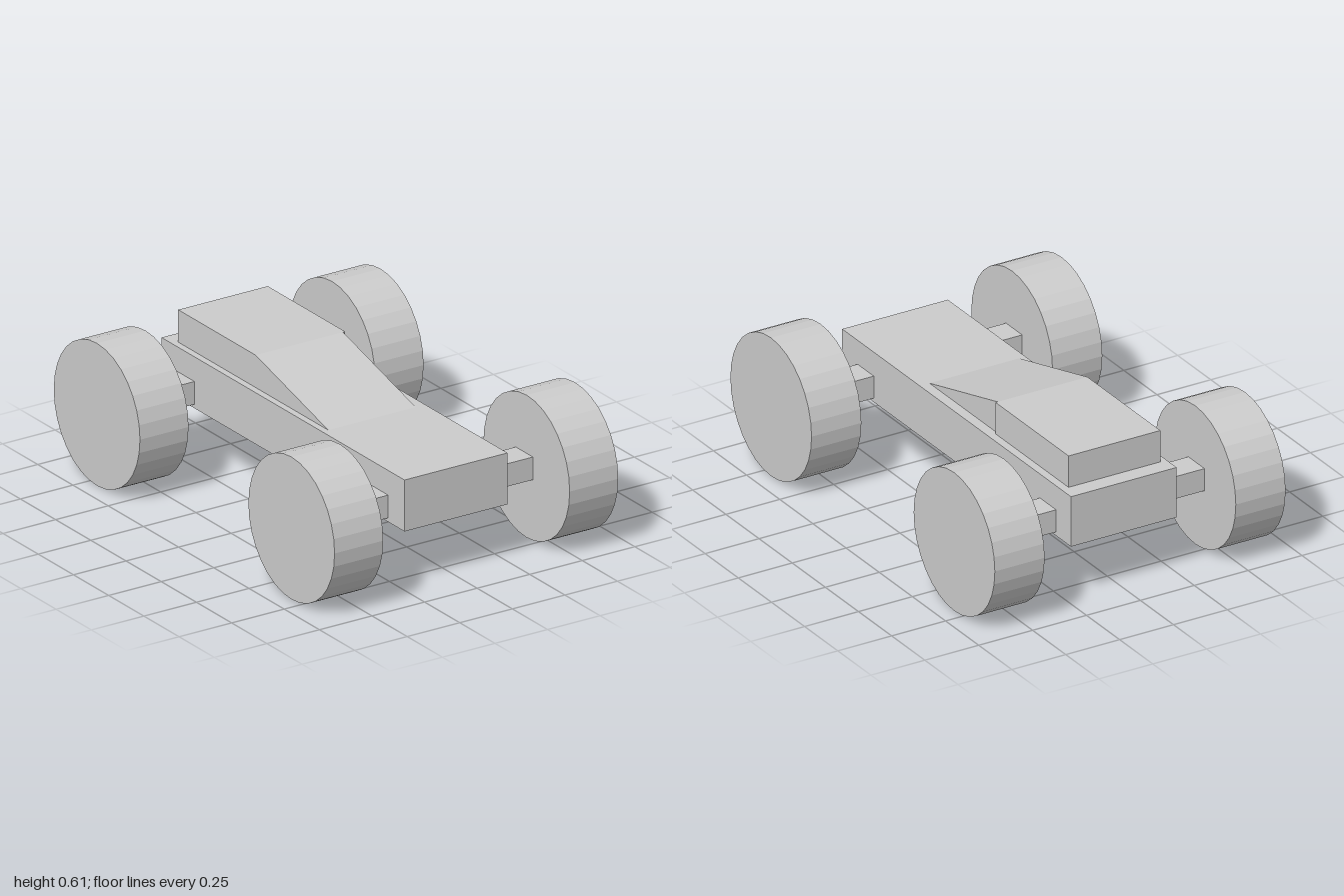
import * as THREE from 'three';

const material = new THREE.MeshStandardMaterial({ color: 0xcccccc, flatShading: true });

function addMesh(parent, name, geometry, x = 0, y = 0, z = 0) {
  const mesh = new THREE.Mesh(geometry, material);
  mesh.name = name;
  mesh.position.set(x, y, z);
  parent.add(mesh);
  return mesh;
}

// Box given by its minimum and maximum corners
function addBox(parent, name, [x0, y0, z0], [x1, y1, z1]) {
  const geometry = new THREE.BoxGeometry(x1 - x0, y1 - y0, z1 - z0);
  return addMesh(parent, name, geometry, (x0 + x1) / 2, (y0 + y1) / 2, (z0 + z1) / 2);
}

export function createModel() {
  const model = new THREE.Group();
  model.name = 'car';

  // Long flat body and raised cabin at the back
  addBox(model, 'chassis', [-0.245, 0.252, -0.875], [0.245, 0.473, 0.85]);
  addBox(model, 'cabin', [-0.216, 0.473, -0.8], [0.21, 0.612, -0.25]);

  // Sloped windshield: side profile in (z, y), extruded across the body
  const profile = new THREE.Shape([
    new THREE.Vector2(-0.25, 0.473),
    new THREE.Vector2(0.265, 0.473),
    new THREE.Vector2(-0.25, 0.612),
  ]);
  const wedge = new THREE.ExtrudeGeometry(profile, { depth: 0.416, bevelEnabled: false });
  wedge.rotateY(-Math.PI / 2);
  addMesh(model, 'windshield', wedge, 0.2);

  // Axles with a wheel on each end
  const wheelGeometry = new THREE.CylinderGeometry(0.306, 0.306, 0.231, 32);
  wheelGeometry.rotateZ(Math.PI / 2);
  const axles = [
    { name: 'front', axleZ: 0.673, wheelZ: 0.689, wheelY: 0.311 },
    { name: 'rear', axleZ: -0.702, wheelZ: -0.693, wheelY: 0.309 },
  ];
  for (const { name, axleZ, wheelZ, wheelY } of axles) {
    addBox(model, `${name}Axle`, [-0.45, 0.269, axleZ - 0.061], [0.45, 0.367, axleZ + 0.061]);
    for (const side of [-1, 1]) {
      const label = `${name}${side > 0 ? 'Left' : 'Right'}Wheel`;
      addMesh(model, label, wheelGeometry, side * 0.559, wheelY, wheelZ);
    }
  }

  return model;
}
